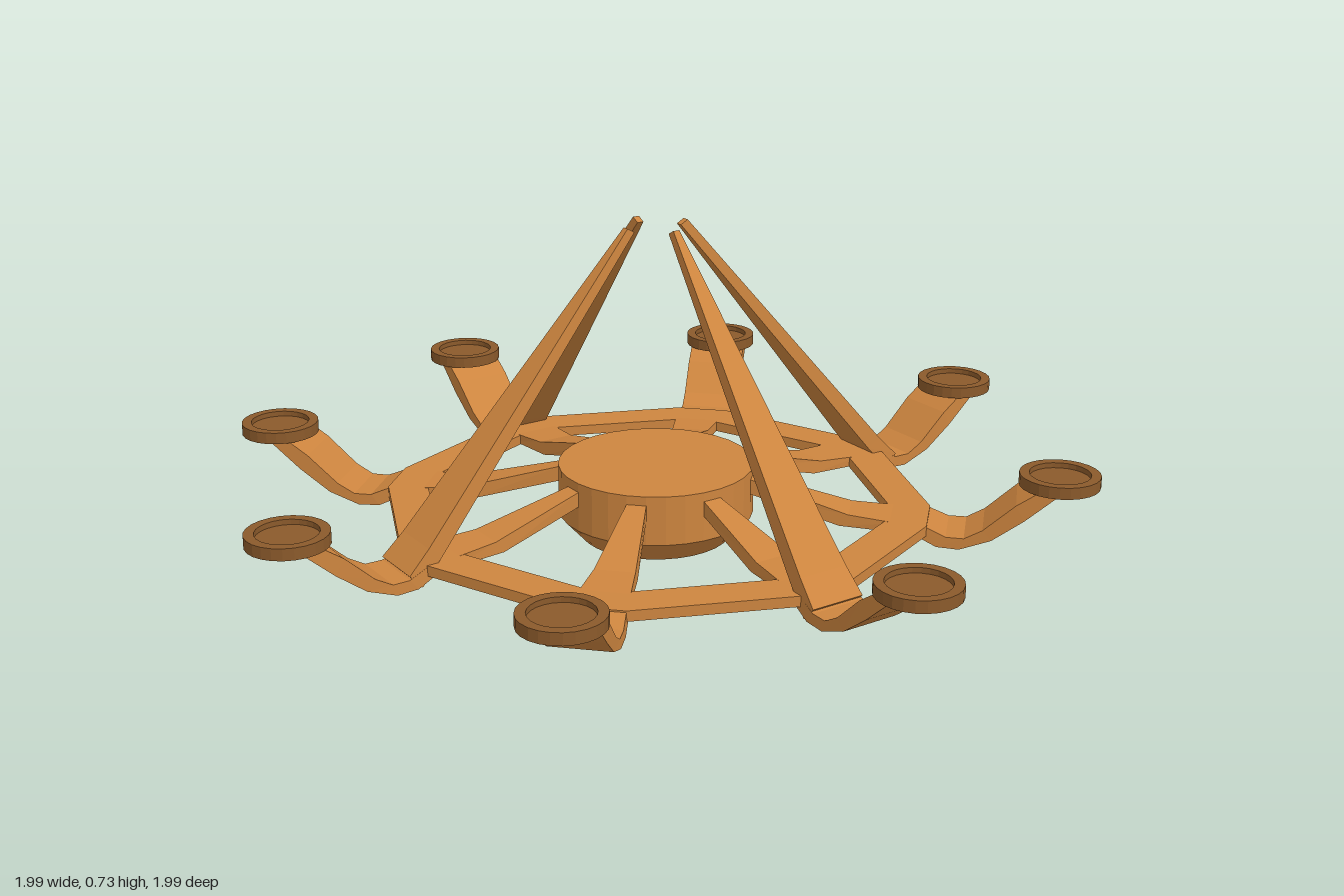
import * as THREE from 'three';

const wood = new THREE.MeshStandardMaterial({ color: 0xcd853f, flatShading: true });
const darkWood = new THREE.MeshStandardMaterial({ color: 0x8b5a2b, flatShading: true });

const ARMS = 8;
const OFFSET = 5.7 * Math.PI / 180; // turn of the arms, and half the angle each spoke covers
const STEP = Math.PI * 2 / ARMS;

// Bar running outward along x. Station: [top x, top y, bottom x, bottom y, half width]
function bar(name, stations) {
  const pos = [];
  const loops = stations.map(([tx, ty, bx, by, w]) => [
    [tx, ty, w], [tx, ty, -w], [bx, by, -w], [bx, by, w],
  ]);
  const quad = (a, b, c, d) => pos.push(...a, ...b, ...c, ...a, ...c, ...d);
  for (let i = 0; i < loops.length - 1; i++) {
    const p = loops[i], q = loops[i + 1];
    for (let k = 0; k < 4; k++) {
      const n = (k + 1) % 4;
      quad(p[k], q[k], q[n], p[n]);
    }
  }
  const s = loops[0], e = loops[loops.length - 1];
  quad(s[0], s[1], s[2], s[3]);
  quad(e[3], e[2], e[1], e[0]);
  const geo = new THREE.BufferGeometry();
  geo.setAttribute('position', new THREE.Float32BufferAttribute(pos, 3));
  geo.computeVertexNormals();
  const mesh = new THREE.Mesh(geo, wood);
  mesh.name = name;
  return mesh;
}

function lathe(name, points, sides, material) {
  const geo = new THREE.LatheGeometry(points.map(([x, y]) => new THREE.Vector2(x, y)), sides);
  const mesh = new THREE.Mesh(geo, material);
  mesh.name = name;
  return mesh;
}

// Ring outline: two corners at each arm, one on either edge of its spoke
function ringPoints(radius) {
  const pts = [];
  for (let i = 0; i < ARMS; i++) {
    for (const side of [-1, 1]) {
      const a = i * STEP + OFFSET + side * OFFSET;
      pts.push(new THREE.Vector2(Math.cos(a) * radius, Math.sin(a) * radius));
    }
  }
  return pts;
}

export function createModel() {
  const model = new THREE.Group();
  model.name = 'chandelier';

  // Hub with a chamfered underside
  model.add(lathe('hub', [[0, 0], [0.175, 0], [0.225, 0.055], [0.225, 0.17], [0, 0.17]], 32, wood));

  // Flat ring joining the arms
  const shape = new THREE.Shape(ringPoints(0.63));
  shape.holes.push(new THREE.Path(ringPoints(0.535)));
  const ringGeo = new THREE.ExtrudeGeometry(shape, { depth: 0.024, bevelEnabled: false });
  ringGeo.rotateX(-Math.PI / 2);
  const ring = new THREE.Mesh(ringGeo, wood);
  ring.name = 'ring';
  ring.position.y = 0.06;
  model.add(ring);

  for (let i = 0; i < ARMS; i++) {
    const arm = new THREE.Group();
    arm.name = 'arm' + (i + 1);
    arm.rotation.y = OFFSET + i * STEP;

    // Tapered spoke falling from the hub to the ring
    arm.add(bar('spoke', [
      [0.15, 0.165, 0.15, 0.13, 0.015],
      [0.22, 0.15, 0.22, 0.115, 0.022],
      [0.45, 0.09, 0.43, 0.062, 0.045],
      [0.56, 0.083, 0.56, 0.061, 0.056],
    ]));

    // Curved outer arm dipping below the ring and rising to the cup
    arm.add(bar('outerArm', [
      [0.55, 0.083, 0.55, 0.061, 0.055],
      [0.62, 0.083, 0.6, 0.06, 0.062],
      [0.67, 0.062, 0.65, 0.037, 0.066],
      [0.71, 0.062, 0.7, 0.035, 0.067],
      [0.75, 0.085, 0.77, 0.062, 0.068],
      [0.82, 0.15, 0.84, 0.115, 0.07],
      [0.87, 0.185, 0.915, 0.182, 0.07],
    ]));

    // Candle cup with a shallow recess
    const cup = lathe('candleCup',
      [[0, 0], [0.09, 0], [0.09, 0.027], [0.068, 0.027], [0.068, 0.015], [0, 0.015]], 24, darkWood);
    cup.position.set(0.912, 0.18, 0);
    arm.add(cup);

    // Tall tapered strut on every other arm
    if (i % 2 === 1) {
      arm.add(bar('strut', [
        [0.67, 0.07, 0.64, 0.038, 0.065],
        [0.62, 0.12, 0.585, 0.1, 0.06],
        [0.08, 0.732, 0.062, 0.722, 0.008],
      ].reverse()));
    }
    model.add(arm);
  }
  return model;
}
